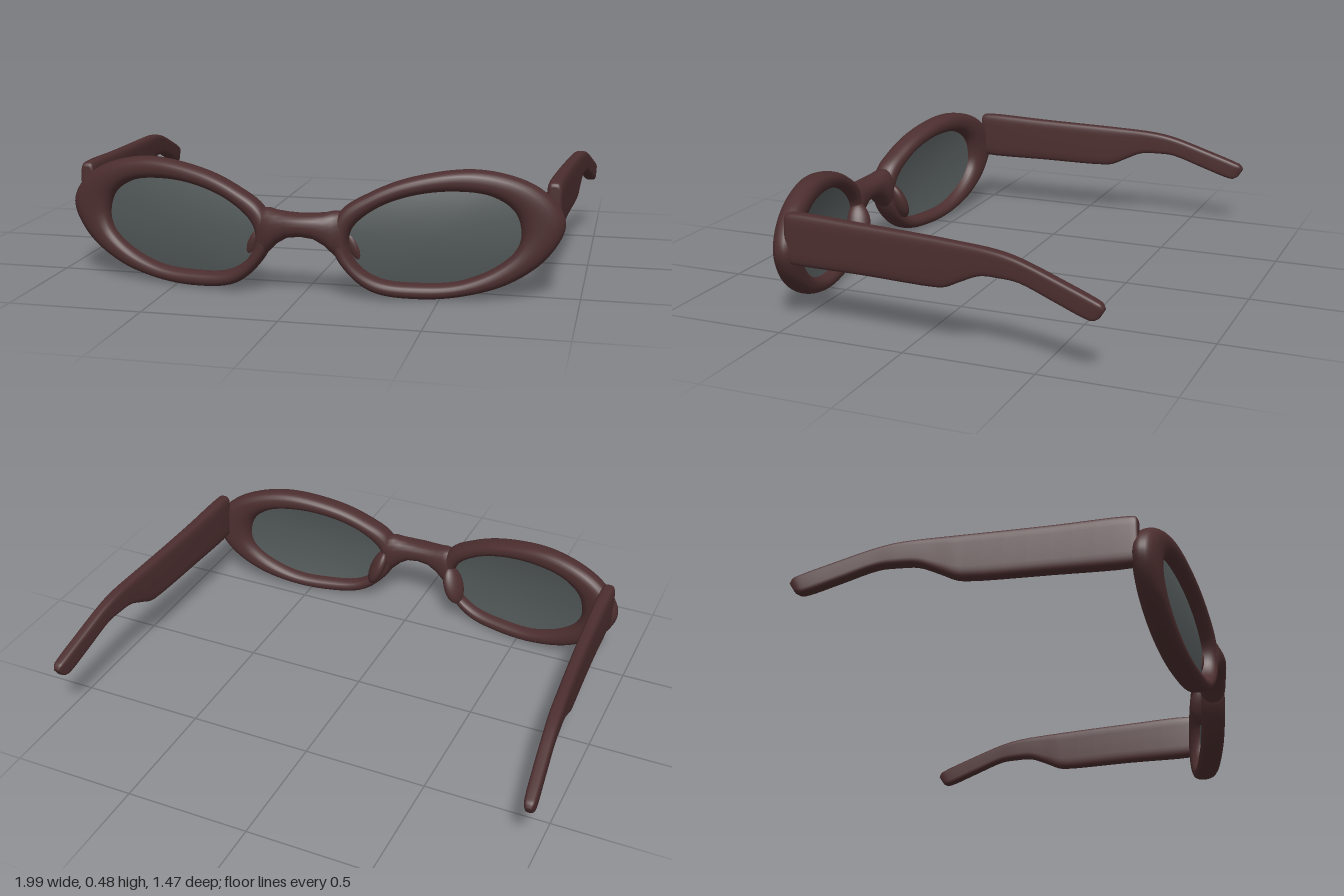
import * as THREE from 'three';

const frameMat = new THREE.MeshStandardMaterial({ color: 0x4c2e2f });
frameMat.name = 'dark maroon';
const lensMat = new THREE.MeshStandardMaterial({ color: 0x525858, side: THREE.DoubleSide });
lensMat.name = 'smoke grey';

const V = (x, y, z = 0) => new THREE.Vector3(x, y, z);
const spline = (pts, closed) =>
  new THREE.CatmullRomCurve3(pts.map(p => V(p[0], p[1], p[2] || 0)), closed, 'centripetal');
const spow = (v, e) => Math.sign(v) * Math.pow(Math.abs(v), e);
// The front sweeps back from the nose toward the temples
const sweep = x => 0.675 - 0.18 * (Math.sqrt(x * x + 0.0064) - 0.08);

// Skin a list of rings; the ends are closed with fans or joined in a loop
function loft(rings, { loop = false, caps = false } = {}) {
  const n = rings[0].length, m = rings.length, pos = [], idx = [];
  rings.forEach(r => r.forEach(p => pos.push(p.x, p.y, p.z)));
  for (let i = 0; i < (loop ? m : m - 1); i++) {
    for (let j = 0; j < n; j++) {
      const i2 = (i + 1) % m, k = (j + 1) % n;
      const a = i * n + j, b = i2 * n + j, c = i2 * n + k, d = i * n + k;
      idx.push(a, b, c, a, c, d);
    }
  }
  if (caps) [0, m - 1].forEach((r, end) => {
    const mid = rings[r].reduce((s, p) => s.add(p), V(0, 0)).divideScalar(n);
    const c = pos.length / 3;
    pos.push(mid.x, mid.y, mid.z);
    for (let j = 0; j < n; j++) {
      const a = r * n + j, b = r * n + (j + 1) % n;
      idx.push(c, end ? b : a, end ? a : b);
    }
  });
  const g = new THREE.BufferGeometry();
  g.setAttribute('position', new THREE.Float32BufferAttribute(pos, 3));
  g.setIndex(idx);
  g.computeVertexNormals();
  return g;
}

// Matching outer and inner outlines of one rim, counterclockwise from the temple side
const outer = spline([
  [0.94, 0.275], [0.915, 0.35], [0.82, 0.43], [0.63, 0.48], [0.4, 0.452], [0.25, 0.395], [0.14, 0.32],
  [0.115, 0.2], [0.165, 0.105], [0.26, 0.028], [0.42, 0.003], [0.59, 0.016], [0.75, 0.065], [0.88, 0.16],
], true);
const inner = spline([
  [0.785, 0.25], [0.76, 0.33], [0.68, 0.385], [0.55, 0.402], [0.4, 0.385], [0.27, 0.335], [0.185, 0.26],
  [0.175, 0.195], [0.21, 0.125], [0.29, 0.075], [0.43, 0.06], [0.57, 0.07], [0.7, 0.125], [0.77, 0.19],
], true);

function rimGeometry() {
  const rings = [];
  for (let i = 0; i < 112; i++) {
    const o = outer.getPoint(i / 112), n = inner.getPoint(i / 112), ring = [];
    for (let j = 0; j < 24; j++) {
      const a = j / 24 * Math.PI * 2;
      const p = n.clone().lerp(o, 0.5 + 0.5 * spow(Math.cos(a), 0.85));
      p.z = sweep(p.x) + 0.048 * spow(Math.sin(a), 0.85);
      ring.push(p);
    }
    rings.push(ring);
  }
  return loft(rings, { loop: true });
}

// Slightly domed lens, its edge tucked into the rim
function lensGeometry() {
  const c = V(0.48, 0.235), rings = [];
  for (let r = 0; r <= 8; r++) {
    const s = r / 8, ring = [];
    for (let j = 0; j < 84; j++) {
      const p = c.clone().lerp(inner.getPoint(j / 84), s * 1.04);
      p.z = sweep(p.x) - 0.005 + 0.02 * (1 - s * s);
      ring.push(p);
    }
    rings.push(ring);
  }
  return loft(rings);
}

function bridgeGeometry() {
  // x, bottom, top, half depth
  const half = [[0.165, 0.15, 0.31, 0.035], [0.15, 0.14, 0.325, 0.05], [0.12, 0.165, 0.325, 0.053],
    [0.09, 0.195, 0.318, 0.053], [0.05, 0.22, 0.314, 0.054]];
  const stations = [...half.map(([x, ...r]) => [-x, ...r]), [0, 0.227, 0.312, 0.055], ...half.slice().reverse()];
  return loft(stations.map(([x, b, t, d]) => Array.from({ length: 24 }, (_, j) => {
    const a = j / 24 * Math.PI * 2;
    return V(x, (b + t) / 2 + (t - b) / 2 * spow(Math.cos(a), 0.85), sweep(x) - d * spow(Math.sin(a), 0.85));
  })), { caps: true });
}

function templeGeometry() {
  // top z, top y, bottom z, bottom y, half thickness
  const stations = [
    [0.512, 0.415, 0.512, 0.255, 0.018], [0.505, 0.428, 0.505, 0.241, 0.026], [0.48, 0.433, 0.48, 0.236, 0.029],
    [0.2, 0.425, 0.2, 0.236, 0.028], [-0.1, 0.416, -0.1, 0.236, 0.026], [-0.15, 0.414, -0.14, 0.243, 0.026],
    [-0.22, 0.411, -0.2, 0.272, 0.025], [-0.3, 0.406, -0.275, 0.304, 0.025], [-0.37, 0.397, -0.35, 0.308, 0.025],
    [-0.44, 0.38, -0.42, 0.304, 0.024], [-0.58, 0.333, -0.555, 0.258, 0.024], [-0.7, 0.29, -0.67, 0.218, 0.023],
    [-0.725, 0.278, -0.695, 0.215, 0.02], [-0.736, 0.26, -0.715, 0.225, 0.012],
  ];
  // Extra sections keep the outward bow smooth
  const top = spline(stations.map(s => [s[4], s[1], s[0]]));
  const bottom = spline(stations.map(s => [s[4], s[3], s[2]]));
  const rings = [], steps = (stations.length - 1) * 4;
  for (let i = 0; i <= steps; i++) {
    const t = top.getPoint(i / steps), b = bottom.getPoint(i / steps), ring = [];
    for (let j = 0; j < 32; j++) {
      const a = j / 32 * Math.PI * 2;
      const p = b.clone().lerp(t, 0.5 + 0.5 * spow(Math.cos(a), 0.4));
      const bow = 0.895 + 0.08 * Math.pow(Math.max(0, 0.512 - p.z) / 1.245, 1.6);
      p.x = bow - t.x * spow(Math.sin(a), 0.55);
      ring.push(p);
    }
    rings.push(ring);
  }
  return loft(rings, { caps: true });
}

export function createModel() {
  const model = new THREE.Group();
  model.name = 'sunglasses';
  const add = (parent, name, geo, mat) => {
    const mesh = new THREE.Mesh(geo, mat);
    mesh.name = name;
    parent.add(mesh);
    return mesh;
  };
  add(model, 'bridge', bridgeGeometry(), frameMat);

  const rim = rimGeometry(), lens = lensGeometry(), temple = templeGeometry();
  const pad = new THREE.SphereGeometry(1, 24, 16);
  for (const [side, s] of [['left', 1], ['right', -1]]) {
    const half = new THREE.Group();
    half.name = side + 'Half';
    half.scale.x = s;
    add(half, side + 'Rim', rim, frameMat);
    add(half, side + 'Lens', lens, lensMat);
    add(half, side + 'Temple', temple, frameMat);
    // Nose pad on the back of the rim
    const nose = add(half, side + 'NosePad', pad, frameMat);
    nose.position.set(0.183, 0.175, 0.61);
    nose.scale.set(0.03, 0.085, 0.05);
    nose.rotation.set(0, 0.5, 0.4);
    model.add(half);
  }
  return model;
}
